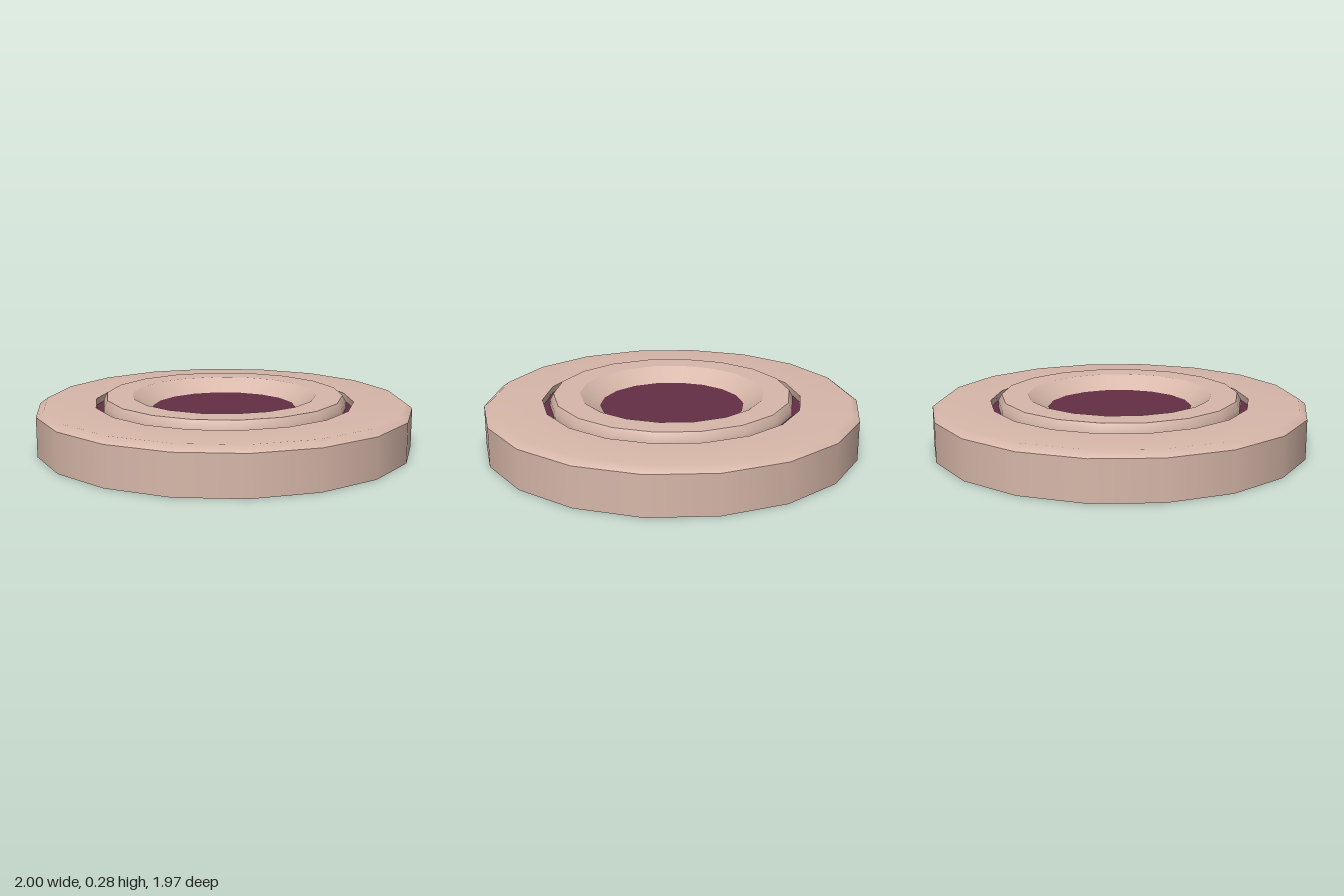
import * as THREE from 'three';

const SIDES = 18;
const FLOOR = 0.205;

export function createModel() {
  const clay = new THREE.MeshStandardMaterial({ color: 0xd8b8aa });
  clay.name = 'dusty pink';
  const plum = new THREE.MeshStandardMaterial({ color: 0x642f46 });
  plum.name = 'plum';

  const model = new THREE.Group();
  model.name = 'roundButton';

  // Each strip is a separate lathe, so edges between strips stay sharp
  const strips = (name, material, profiles) => {
    const group = new THREE.Group();
    group.name = name;
    for (const profile of profiles) {
      const points = profile.map(([r, y]) => new THREE.Vector2(r, y));
      const geometry = new THREE.LatheGeometry(points, SIDES, Math.PI / 2);
      const mesh = new THREE.Mesh(geometry, material);
      mesh.name = name + 'Surface';
      group.add(mesh);
    }
    model.add(group);
  };

  // Base with flat underside, upright side and softly bevelled top
  strips('base', clay, [
    [[0, 0], [1, 0]],
    [[1, 0], [1, 0.21]],
    [[1, 0.21], [0.96, 0.24], [0.69, 0.24]],
    [[0.69, 0.24], [0.69, FLOOR]],
  ]);

  // Raised ring with a sloping bowl inside
  strips('raisedRing', clay, [
    [[0.65, FLOOR], [0.65, 0.24], [0.63, 0.275]],
    [[0.63, 0.275], [0.49, 0.275]],
    [[0.49, 0.275], [0.385, FLOOR]],
  ]);

  // Dark floors of the groove and the bowl
  strips('grooveFloor', plum, [[[0.69, FLOOR], [0.65, FLOOR]]]);
  strips('bowlFloor', plum, [[[0.385, FLOOR], [0, FLOOR]]]);

  return model;
}
